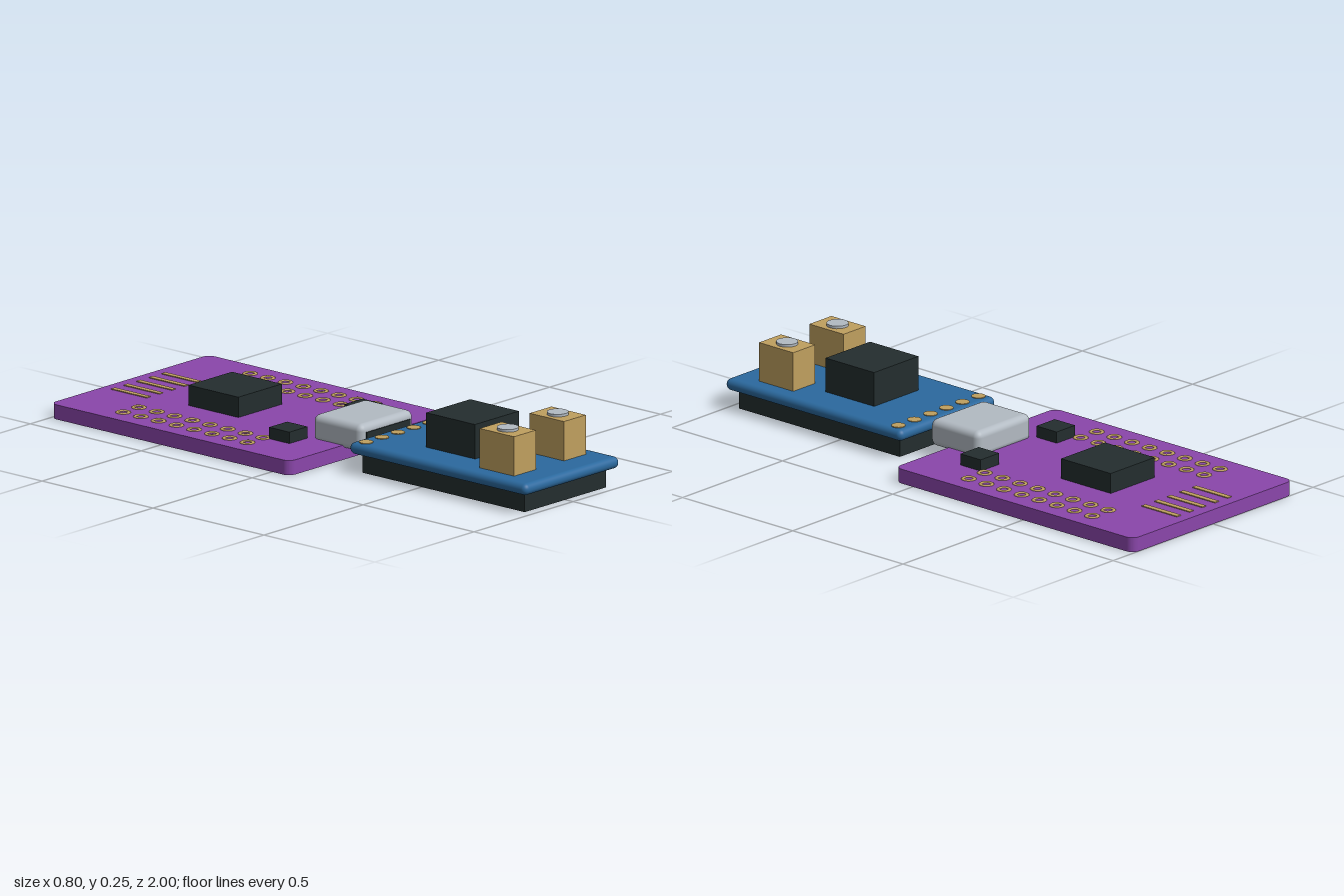
import * as THREE from 'three';
import { RoundedBoxGeometry } from 'three/addons/geometries/RoundedBoxGeometry.js';

const mat = (name, color) => {
  const m = new THREE.MeshStandardMaterial({ color });
  m.name = name;
  return m;
};

export function createModel() {
  const purple = mat('purple', 0x8a46aa);
  const blue = mat('blue', 0x2b699e);
  const black = mat('black', 0x232d2e);
  const gold = mat('gold', 0xbf9f5f);
  const silver = mat('silver', 0xb2bac2);

  const model = new THREE.Group();
  model.name = 'circuitBoards';

  const add = (parent, name, geometry, material, x = 0, y = 0, z = 0) => {
    const mesh = new THREE.Mesh(geometry, material);
    mesh.name = name;
    mesh.position.set(x, y, z);
    parent.add(mesh);
    return mesh;
  };
  // Box given by its centre in x and z, and its bottom and top heights
  const box = (parent, name, material, w, d, y0, y1, x, z) =>
    add(parent, name, new THREE.BoxGeometry(w, y1 - y0, d), material, x, (y0 + y1) / 2, z);
  const group = (name) => {
    const g = new THREE.Group();
    g.name = name;
    model.add(g);
    return g;
  };

  // Large board with rounded corners
  const main = group('mainBoard');
  const w = 0.4, d = 0.54, r = 0.03;
  const outline = new THREE.Shape();
  outline.absarc(w - r, d - r, r, 0, Math.PI / 2);
  outline.absarc(r - w, d - r, r, Math.PI / 2, Math.PI);
  outline.absarc(r - w, r - d, r, Math.PI, Math.PI * 1.5);
  outline.absarc(w - r, r - d, r, Math.PI * 1.5, Math.PI * 2);
  outline.closePath();
  const slab = new THREE.ExtrudeGeometry(outline, { depth: 0.051, bevelEnabled: false, curveSegments: 6 });
  slab.rotateX(-Math.PI / 2);
  add(main, 'mainBoardPlate', slab, purple, 0, 0, -0.46);
  box(main, 'mainChip', black, 0.22, 0.225, 0.05, 0.122, 0, -0.523);

  // Gold contact strips at the back
  for (let i = -2; i <= 2; i++)
    box(main, 'contactStrip', gold, 0.02, 0.16, 0.045, 0.054, i * 0.0635, -0.88);

  // Double rows of ring-shaped pin holes, and a small chip on each side
  const ring = new THREE.TorusGeometry(0.02, 0.0065, 6, 12);
  ring.rotateX(Math.PI / 2);
  ring.scale(1, 0.6, 1);
  for (const side of [-1, 1]) {
    for (let row = 0; row < 8; row++)
      for (const x of [0.24, 0.32])
        add(main, 'pinRing', ring, gold, side * x, 0.051, -0.742 + row * 0.08);
    box(main, 'smallChip', black, 0.092, 0.092, 0.05, 0.091, side * 0.19, -0.114);
  }

  // Metal socket overhanging the front edge
  const socket = group('socket');
  add(socket, 'socketShell', new RoundedBoxGeometry(0.27, 0.096, 0.222, 3, 0.024), silver, 0, 0.087, 0.054);
  box(socket, 'socketOpening', black, 0.22, 0.02, 0.062, 0.108, 0, 0.159);

  // Small raised board on its black base
  const small = group('smallBoard');
  box(small, 'smallBoardBase', black, 0.41, 0.73, 0, 0.068, 0, 0.6);
  add(small, 'smallBoardPlate', new RoundedBoxGeometry(0.48, 0.041, 0.8, 4, 0.02), blue, 0, 0.087, 0.6);
  box(small, 'tallChip', black, 0.222, 0.22, 0.1, 0.228, 0, 0.547);

  // Row of round solder pads
  const pad = new THREE.CylinderGeometry(0.024, 0.024, 0.012, 16);
  for (let i = 0; i < 6; i++)
    add(small, 'solderPad', pad, gold, -0.2 + i * 0.08, 0.104, 0.246);

  // Gold terminals with silver screw heads
  const screw = new THREE.CylinderGeometry(0.037, 0.037, 0.02, 20);
  for (const side of [-1, 1]) {
    box(small, 'terminalBlock', gold, 0.11, 0.155, 0.1, 0.245, side * 0.126, 0.818);
    add(small, 'terminalScrew', screw, silver, side * 0.126, 0.244, 0.818);
  }

  return model;
}
